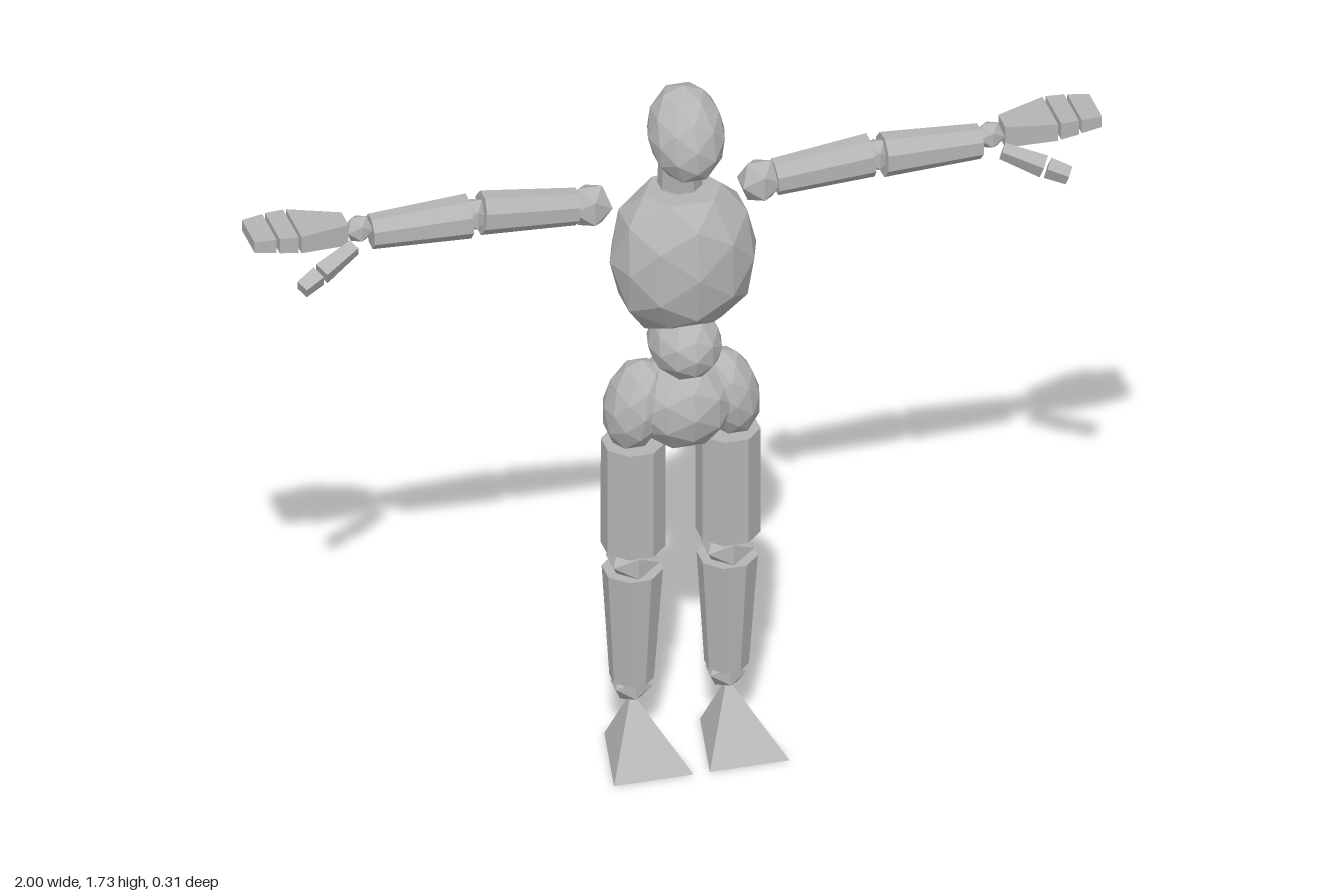
import * as THREE from 'three';

export function createModel() {
  const model = new THREE.Group();
  model.name = 'mannequin';
  const grey = new THREE.MeshStandardMaterial({ color: 0xb4b4b4, flatShading: true });
  grey.name = 'plain grey';

  const add = (name, geometry) => {
    const mesh = new THREE.Mesh(geometry, grey);
    mesh.name = name;
    model.add(mesh);
    return mesh;
  };

  // Move every vertex of a geometry by a rule.
  const reshape = (geometry, rule) => {
    const pos = geometry.attributes.position;
    const v = new THREE.Vector3();
    for (let i = 0; i < pos.count; i++) {
      rule(v.fromBufferAttribute(pos, i));
      pos.setXYZ(i, v.x, v.y, v.z);
    }
    geometry.computeVertexNormals();
    return geometry;
  };

  // Faceted ellipsoid, optionally reshaped in place.
  const ball = (name, [x, y, z], [rx, ry, rz], detail = 1, rule = () => {}) => {
    const g = new THREE.IcosahedronGeometry(1, detail).scale(rx, ry, rz).translate(x, y, z);
    return add(name, reshape(g, rule));
  };

  // Tapered prism between two points; depth scales its z thickness.
  const limb = (name, a, b, ra, rb, sides = 8, depth = 1) => {
    const from = new THREE.Vector3(...a), to = new THREE.Vector3(...b);
    const dir = to.clone().sub(from);
    const g = new THREE.CylinderGeometry(rb, ra, dir.length(), sides);
    g.rotateY(Math.PI / sides).scale(1, 1, depth);
    const mesh = add(name, g);
    mesh.position.copy(from).add(to).multiplyScalar(0.5);
    mesh.quaternion.setFromUnitVectors(new THREE.Vector3(0, 1, 0), dir.normalize());
    return mesh;
  };

  // Flat hand segment from x0 to x1; each end is [bottom, top, back, front].
  const plate = (name, s, x0, x1, inner, outer) => {
    const g = new THREE.BoxGeometry(1, 1, 1);
    return add(name, reshape(g, (v) => {
      const far = v.x * s > 0;
      const e = far ? outer : inner;
      v.set(s * (far ? x1 : x0), v.y > 0 ? e[1] : e[0], v.z > 0 ? e[3] : e[2]);
    }));
  };

  // Head leans forward at the chin
  ball('head', [0, 1.62, 0.023], [0.09, 0.11, 0.1], 1, (v) => { v.z -= 0.22 * (v.y - 1.62); });
  limb('neck', [0, 1.43, -0.03], [0, 1.59, -0.015], 0.052, 0.05);

  // Chest: flat top and a sloping cut below the ribs
  ball('chest', [0, 1.29, -0.002], [0.173, 0.22, 0.141], 1, (v) => {
    v.y = Math.min(v.y, 1.457);
    v.y = Math.max(v.y, 1.085 + 0.76 * v.z);
  });
  ball('abdomen', [0, 1.062, 0.01], [0.086, 0.085, 0.106]);
  ball('pelvis', [0, 0.9, -0.012], [0.125, 0.118, 0.117], 1, (v) => { v.y = Math.min(v.y, 1.0); });

  for (const s of [1, -1]) {
    const side = s > 0 ? 'left' : 'right';
    const p = (x, y, z) => [s * x, y, z];

    // Leg
    ball(`${side} hip`, p(0.108, 0.9, -0.015), [0.075, 0.112, 0.083], 1,
      (v) => { v.x -= s * 0.15 * (v.y - 0.9); });
    limb(`${side} thigh`, p(0.112, 0.525, -0.022), p(0.112, 0.8, -0.02), 0.074, 0.074);
    ball(`${side} knee`, p(0.112, 0.485, -0.025), [0.064, 0.05, 0.062], 0);
    limb(`${side} shin`, p(0.112, 0.17, -0.033), p(0.112, 0.46, -0.028), 0.051, 0.07);
    ball(`${side} ankle`, p(0.112, 0.15, -0.037), [0.05, 0.045, 0.045], 0);

    // Wedge foot: wide toe edge, narrow heel, apex at the ankle
    add(`${side} foot`, reshape(new THREE.BoxGeometry(1, 1, 1), (v) => {
      if (v.y > 0) v.set(s * 0.113, 0.127, -0.035);
      else v.set(s * 0.113 + Math.sign(v.x) * (v.z > 0 ? 0.094 : 0.05), 0, v.z > 0 ? 0.152 : -0.08);
    }));

    // Arm
    ball(`${side} shoulder`, p(0.2, 1.408, -0.068), [0.054, 0.056, 0.052], 0);
    limb(`${side} upper arm`, p(0.235, 1.412, -0.066), p(0.46, 1.435, -0.062), 0.044, 0.052, 8, 0.92);
    ball(`${side} elbow`, p(0.475, 1.432, -0.064), [0.035, 0.042, 0.038], 0);
    limb(`${side} forearm`, p(0.488, 1.43, -0.064), p(0.718, 1.424, -0.07), 0.052, 0.041, 8, 1);
    ball(`${side} wrist`, p(0.745, 1.435, -0.072), [0.035, 0.035, 0.033], 0);

    // Hand
    plate(`${side} palm`, s, 0.775, 0.893, [1.408, 1.462, -0.108, -0.05], [1.42, 1.463, -0.155, -0.027]);
    plate(`${side} fingers`, s, 0.9, 0.943, [1.422, 1.464, -0.154, -0.027], [1.426, 1.463, -0.152, -0.031]);
    plate(`${side} fingertips`, s, 0.95, 1.0, [1.427, 1.462, -0.151, -0.033], [1.432, 1.459, -0.143, -0.039]);
    limb(`${side} thumb base`, p(0.765, 1.407, -0.04), p(0.852, 1.373, -0.003), 0.02, 0.027, 4);
    limb(`${side} thumb tip`, p(0.86, 1.37, 0), p(0.905, 1.353, 0.019), 0.025, 0.022, 4);
  }
  return model;
}
